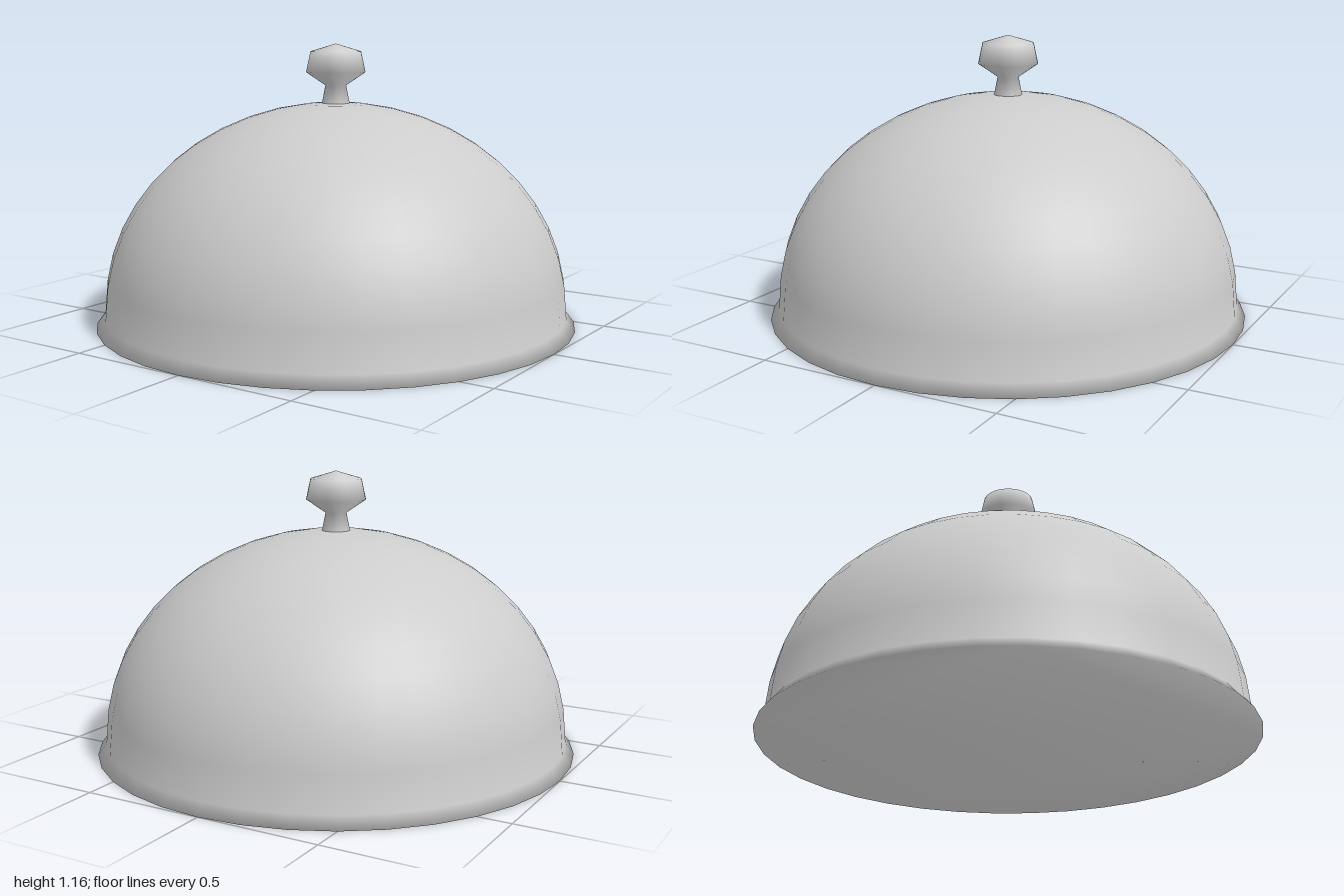
import * as THREE from 'three';

const SEGMENTS = 36;

// Smooth surface of revolution from [radius, height] pairs, listed bottom to top
function lathe(name, profile, material) {
  const points = profile.map(([r, y]) => new THREE.Vector2(r, y));
  const mesh = new THREE.Mesh(new THREE.LatheGeometry(points, SEGMENTS), material);
  mesh.name = name;
  return mesh;
}

// Round the normals over the bottom edge so rim and base share soft shading
function softenBottomEdge(geometry) {
  const { position, normal } = geometry.attributes;
  for (let i = 0; i < position.count; i++) {
    if (Math.abs(position.getY(i)) > 0.001) continue;
    normal.setXYZ(i, 0.88 * position.getX(i), -0.47, 0.88 * position.getZ(i));
  }
}

export function createModel() {
  const model = new THREE.Group();
  model.name = 'servingDome';
  const metal = new THREE.MeshStandardMaterial({ color: 0xcccccc });
  metal.name = 'polished grey';

  // Dome with a flared rim
  const profile = [[1, 0], [0.965, 0.045]];
  const steps = 12;
  for (let i = 1; i <= steps; i++) {
    const a = (i / steps) * Math.PI / 2;
    profile.push([i === steps ? 0 : 0.96 * Math.cos(a), 0.08 + 0.835 * Math.sin(a)]);
  }
  const dome = lathe('dome', profile, metal);
  softenBottomEdge(dome.geometry);

  // Flat base closing the dome
  const outline = [];
  for (let i = 0; i < SEGMENTS; i++) {
    const a = (i / SEGMENTS) * Math.PI * 2;
    outline.push(new THREE.Vector2(Math.cos(a), Math.sin(a)));
  }
  const baseGeometry = new THREE.ShapeGeometry(new THREE.Shape(outline));
  baseGeometry.rotateX(Math.PI / 2);
  softenBottomEdge(baseGeometry);
  const base = new THREE.Mesh(baseGeometry, metal);
  base.name = 'base';

  // Knob on a short tapered neck
  const knob = lathe('knob', [
    [0.06, 0.9], [0.043, 0.985], [0.123, 1.04], [0.105, 1.125], [0, 1.157],
  ], metal);

  model.add(dome, base, knob);
  return model;
}
